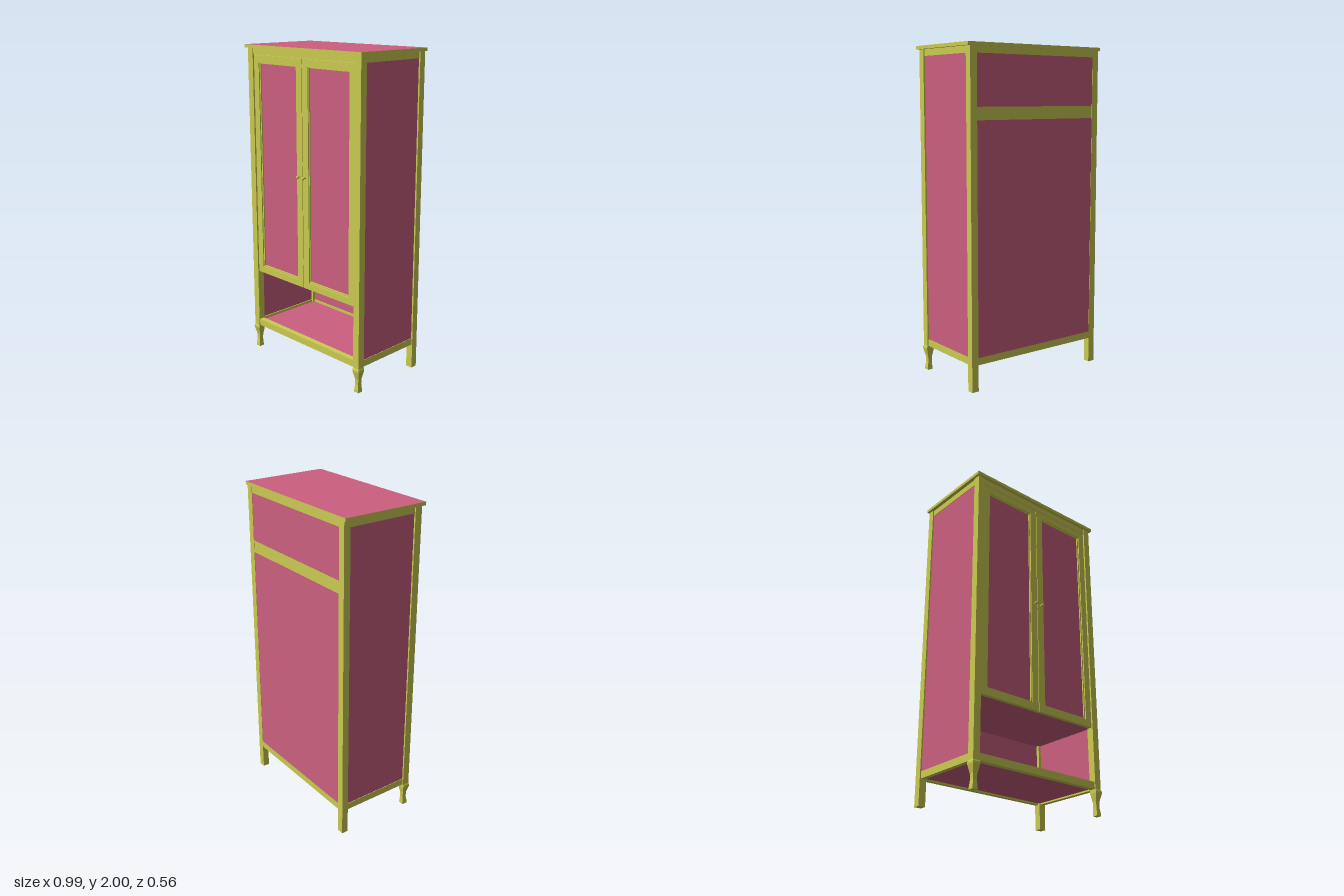
import * as THREE from 'three';

const wood = new THREE.MeshStandardMaterial({ color: 0xcccc52 });
const panelMat = new THREE.MeshStandardMaterial({ color: 0xcc6080 });

// Box given by its lower and upper limits on each axis
function box(parent, name, mat, [x0, x1], [y0, y1], [z0, z1]) {
  const mesh = new THREE.Mesh(new THREE.BoxGeometry(x1 - x0, y1 - y0, z1 - z0), mat);
  mesh.position.set((x0 + x1) / 2, (y0 + y1) / 2, (z0 + z1) / 2);
  mesh.name = name;
  parent.add(mesh);
  return mesh;
}

// Interval mirrored to the given side
const flip = (s, a, b) => (s > 0 ? [a, b] : [-b, -a]);

// Rectangular frame, extruded to depth d, with a rectangular hole
function frame(parent, name, [x0, x1, y0, y1], [a0, a1, b0, b1], z, d) {
  const rect = (p, l, r, b, t) => p.moveTo(l, b).lineTo(r, b).lineTo(r, t).lineTo(l, t).closePath();
  const shape = rect(new THREE.Shape(), x0, x1, y0, y1);
  shape.holes.push(rect(new THREE.Path(), a0, a1, b0, b1));
  const mesh = new THREE.Mesh(new THREE.ExtrudeGeometry(shape, { depth: d, bevelEnabled: false }), wood);
  mesh.position.z = z;
  mesh.name = name;
  parent.add(mesh);
}

// Curved square leg: the profile is [y, inner offset, outer offset] from the post's inner corner
function curvedLeg() {
  const profile = [
    [0, 0.007, 0.041], [0.015, 0.008, 0.041], [0.05, 0.01, 0.036], [0.085, 0.009, 0.037],
    [0.11, 0.004, 0.043], [0.135, 0, 0.049], [0.147, 0, 0.049], [0.157, 0, 0.045],
  ];
  const pos = [], idx = [];
  for (const [y, a, b] of profile) pos.push(a, y, a, a, y, b, b, y, b, b, y, a);
  for (let r = 0; r < profile.length - 1; r++) {
    for (let k = 0; k < 4; k++) {
      const p = r * 4 + k, q = r * 4 + (k + 1) % 4;
      idx.push(p, q, q + 4, p, q + 4, p + 4);
    }
  }
  const n = (profile.length - 1) * 4;
  idx.push(0, 2, 1, 0, 3, 2, n, n + 1, n + 2, n, n + 2, n + 3);
  const g = new THREE.BufferGeometry();
  g.setAttribute('position', new THREE.Float32BufferAttribute(pos, 3));
  g.setIndex(idx);
  const flat = g.toNonIndexed();
  flat.computeVertexNormals();
  return flat;
}

export function createModel() {
  const model = new THREE.Group();
  model.name = 'wardrobe';

  // Top board: coloured top face on a wooden edge
  const top = box(model, 'topBoard', wood, [-0.495, 0.495], [1.98, 2], [-0.28, 0.27]);
  top.material = [wood, wood, panelMat, wood, wood, wood];

  // Posts, legs and sides
  const legGeo = curvedLeg();
  for (const s of [1, -1]) {
    const side = new THREE.Group();
    side.name = s > 0 ? 'leftSide' : 'rightSide';
    model.add(side);
    box(side, 'frontPost', wood, flip(s, 0.435, 0.48), [0.155, 1.98], [0.21, 0.255]);
    box(side, 'backPost', wood, flip(s, 0.435, 0.48), [0, 1.98], [-0.277, -0.235]);
    box(side, 'topSideRail', wood, flip(s, 0.445, 0.473), [1.94, 1.98], [-0.235, 0.21]);
    box(side, 'bottomSideRail', wood, flip(s, 0.445, 0.473), [0.157, 0.2], [-0.235, 0.21]);
    box(side, 'sidePanel', panelMat, flip(s, 0.452, 0.47), [0.2, 1.94], [-0.235, 0.21]);

    // The leg is symmetric about its diagonal, so a quarter turn mirrors it
    const leg = new THREE.Mesh(legGeo, wood);
    leg.name = 'frontLeg';
    leg.position.set(s * 0.435, 0, 0.21);
    leg.rotation.y = s > 0 ? 0 : -Math.PI / 2;
    side.add(leg);
  }

  // Front rails
  box(model, 'frontTopRail', wood, [-0.435, 0.435], [1.94, 1.98], [0.215, 0.25]);
  box(model, 'frontBottomRail', wood, [-0.435, 0.435], [0.157, 0.2], [0.215, 0.25]);

  // Back: rails flush with two panels
  for (const [name, y0, y1] of [['backTopRail', 1.94, 1.98], ['backMiddleRail', 1.57, 1.645], ['backBottomRail', 0.157, 0.2]])
    box(model, name, wood, [-0.435, 0.435], [y0, y1], [-0.275, -0.25]);
  for (const [name, y0, y1] of [['upperBackPanel', 1.645, 1.94], ['lowerBackPanel', 0.2, 1.57]])
    box(model, name, panelMat, [-0.435, 0.435], [y0, y1], [-0.275, -0.255]);

  // Floor of the open compartment and the shelf above it
  box(model, 'floor', panelMat, [-0.447, 0.447], [0.167, 0.183], [-0.25, 0.215]);
  box(model, 'shelf', panelMat, [-0.45, 0.45], [0.545, 0.56], [-0.255, 0.215]);

  // Doors with a stepped bead round a recessed panel, and a knob
  const knobProfile = [[0, 0], [0.005, 0], [0.004, 0.01], [0.009, 0.016], [0.01, 0.021], [0.007, 0.026], [0, 0.028]]
    .map(([r, y]) => new THREE.Vector2(r, y));
  const knobGeo = new THREE.LatheGeometry(knobProfile, 16).rotateX(Math.PI / 2);
  for (const s of [1, -1]) {
    const door = new THREE.Group();
    door.name = s > 0 ? 'leftDoor' : 'rightDoor';
    model.add(door);
    const hole = [...flip(s, 0.05, 0.388), 0.582, 1.895];
    const opening = [...flip(s, 0.055, 0.38), 0.592, 1.888];
    frame(door, 'doorFrame', [...flip(s, 0.002, 0.432), 0.54, 1.938], hole, 0.223, 0.025);
    frame(door, 'doorBead', hole, opening, 0.225, 0.016);
    box(door, 'doorPanel', panelMat, flip(s, 0.052, 0.385), [0.585, 1.892], [0.226, 0.233]);
    const knob = new THREE.Mesh(knobGeo, wood);
    knob.name = 'knob';
    knob.position.set(s * 0.024, 1.24, 0.248);
    door.add(knob);
  }
  return model;
}
